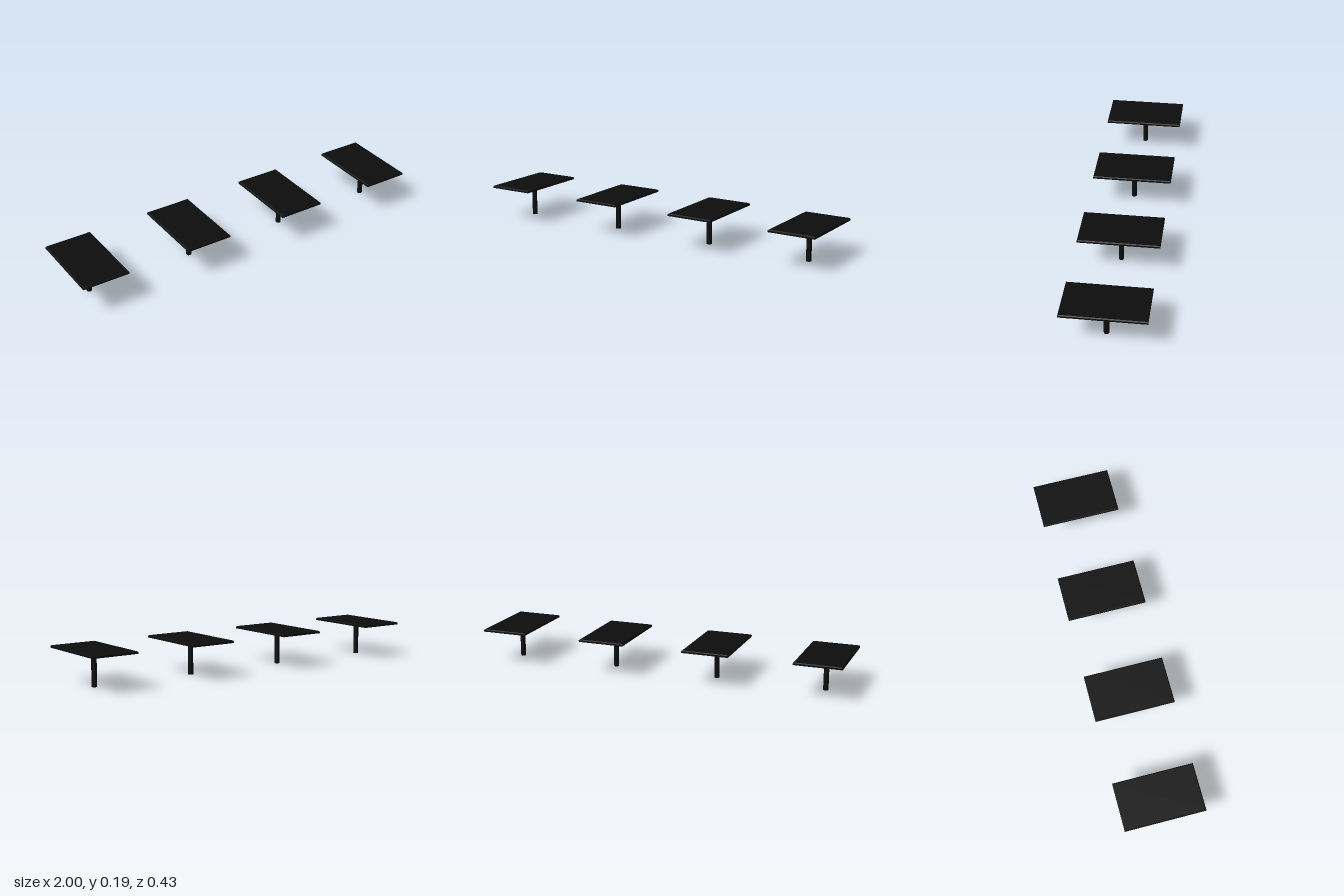
import * as THREE from 'three';

const black = new THREE.MeshStandardMaterial({ color: 0x0d0d0d });
black.name = 'black';

const WIDTH = 0.252, DEPTH = 0.426;
const BOTTOM = 0.181, RIM = 0.19, TOP = 0.194, BEVEL = 0.005;

// Slab whose upper edge is chamfered on all four sides
function tabletopGeometry() {
  const geo = new THREE.BoxGeometry(WIDTH, 1, DEPTH, 1, 2, 1);
  const p = geo.attributes.position;
  for (let i = 0; i < p.count; i++) {
    const y = p.getY(i);
    if (y > 0.1) {
      p.setX(i, p.getX(i) - Math.sign(p.getX(i)) * BEVEL);
      p.setZ(i, p.getZ(i) - Math.sign(p.getZ(i)) * BEVEL);
    }
    p.setY(i, y > 0.1 ? TOP : y < -0.1 ? BOTTOM : RIM);
  }
  const flat = geo.toNonIndexed();
  flat.computeVertexNormals();
  return flat;
}

export function createModel() {
  const model = new THREE.Group();
  model.name = 'tableRow';
  const topGeo = tabletopGeometry();
  const postGeo = new THREE.CylinderGeometry(0.0138, 0.0138, BOTTOM + 0.002, 24);
  postGeo.translate(0, (BOTTOM + 0.002) / 2, 0);

  // Four pedestal tables in a row
  [-0.874, -0.283, 0.298, 0.874].forEach((x, i) => {
    const table = new THREE.Group();
    table.name = `table${i + 1}`;
    const top = new THREE.Mesh(topGeo, black);
    top.name = 'tabletop';
    const post = new THREE.Mesh(postGeo, black);
    post.name = 'post';
    table.add(top, post);
    table.position.x = x;
    model.add(table);
  });
  return model;
}
